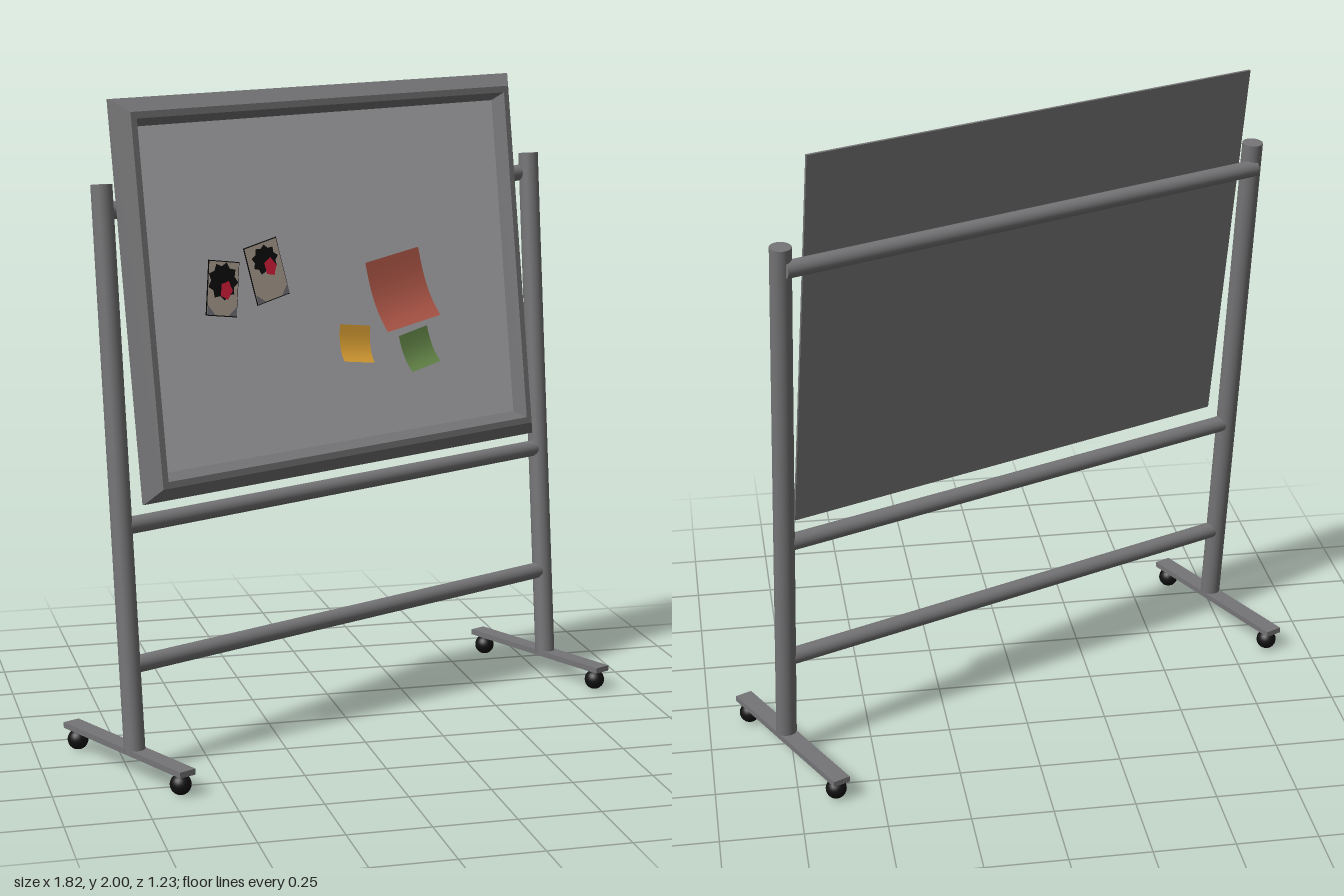
import * as THREE from 'three';

const mat = (name, color, side = THREE.FrontSide) => {
  const m = new THREE.MeshStandardMaterial({ color, side });
  m.name = name;
  return m;
};

export function createModel() {
  const model = new THREE.Group();
  model.name = 'mobileWhiteboard';
  const D = THREE.DoubleSide;
  const metal = mat('greyMetal', 0x757476);
  const white = mat('boardSurface', 0xbcbcbf);
  const rubber = mat('blackRubber', 0x111111);
  const redPaper = mat('redPaper', 0xb75b4b, D);
  const yellowPaper = mat('yellowPaper', 0xe5a737, D);
  const greenPaper = mat('greenPaper', 0x67894a, D);
  const cardPaper = mat('beigeCard', 0xb3a698, D);
  const ink = mat('blackInk', 0x0c0c0c, D);
  const redInk = mat('redInk', 0xe01f3d, D);
  const corner = mat('greyCorner', 0x74747c, D);

  const add = (parent, name, geo, material, x = 0, y = 0, z = 0) => {
    const mesh = new THREE.Mesh(geo, material);
    mesh.name = name;
    mesh.position.set(x, y, z);
    parent.add(mesh);
    return mesh;
  };

  // Round bar between two points
  const bar = (name, a, b, r) => {
    const dir = b.clone().sub(a);
    const mid = a.clone().add(b).multiplyScalar(0.5);
    const m = add(model, name, new THREE.CylinderGeometry(r, r, dir.length(), 24), metal, mid.x, mid.y, mid.z);
    m.quaternion.setFromUnitVectors(new THREE.Vector3(0, 1, 0), dir.normalize());
  };

  // Leaning posts
  const V = (x, y, z) => new THREE.Vector3(x, y, z);
  const posts = [
    [V(-0.737, 0.07, 0.37), V(-0.783, 1.74, 0.225)],
    [V(0.767, 0.07, -0.302), V(0.73, 1.74, -0.446)],
  ];
  const onPost = (i, y) => posts[i][0].clone().lerp(posts[i][1], (y - 0.07) / 1.67);
  bar('rightPost', ...posts[0], 0.032);
  bar('leftPost', ...posts[1], 0.032);

  // Cross rails, the top one set slightly behind the board
  [['lowerRail', 0.33, 0.355, 0], ['middleRail', 0.743, 0.766, 0], ['upperRail', 1.66, 1.675, 0.02]]
    .forEach(([name, ya, yb, back]) => {
      const shift = V(-0.41 * back, 0, -0.91 * back);
      bar(name, onPost(0, ya).add(shift), onPost(1, yb).add(shift), 0.026);
    });

  // Feet with ball casters
  [['rightFoot', -0.752, 0.333], ['leftFoot', 0.754, -0.333]].forEach(([name, x, z]) => {
    const foot = new THREE.Group();
    foot.name = name;
    foot.position.set(x, 0, z);
    foot.rotation.y = 0.455;
    add(foot, 'footBar', new THREE.BoxGeometry(0.055, 0.018, 0.6), metal, 0, 0.073, 0);
    for (const s of [-1, 1]) add(foot, 'caster', new THREE.SphereGeometry(0.032, 20, 14), rubber, 0, 0.032, s * 0.264);
    model.add(foot);
  });

  // Tilted board: local x across, y up, z out of the writing side
  const board = new THREE.Group();
  board.name = 'board';
  board.position.set(-0.0225, 1.403, -0.066);
  board.rotation.set(-0.11, 0.424, 0.0125, 'YXZ');
  model.add(board);
  const W = 0.772, H = 0.592;

  // Mitred frame: rectangular loops given as [inset, depth]
  const profile = [[0, 0], [0, 0.008], [0.042, 0.055], [0.062, 0.055], [0.085, 0.014]];
  const signs = [[-1, -1], [1, -1], [1, 1], [-1, 1]];
  const pt = (p, k) => [signs[k % 4][0] * (W - p[0]), signs[k % 4][1] * (H - p[0]), p[1]];
  const verts = [];
  for (let i = 0; i < profile.length - 1; i++) {
    for (let k = 0; k < 4; k++) {
      const a = pt(profile[i], k), b = pt(profile[i], k + 1);
      const c = pt(profile[i + 1], k + 1), d = pt(profile[i + 1], k);
      verts.push(...a, ...b, ...c, ...a, ...c, ...d);
    }
  }
  const frameGeo = new THREE.BufferGeometry();
  frameGeo.setAttribute('position', new THREE.Float32BufferAttribute(verts, 3));
  frameGeo.computeVertexNormals();
  add(board, 'frame', frameGeo, metal);
  add(board, 'backSheet', new THREE.PlaneGeometry(2 * W, 2 * H), metal).rotation.y = Math.PI;
  add(board, 'writingSurface', new THREE.PlaneGeometry(2 * (W - 0.083), 2 * (H - 0.083)), white, 0, 0, 0.016);

  // Sticky notes whose lower edge curls outward
  const note = (name, material, x, y, w, h, rot, curl) => {
    const g = new THREE.PlaneGeometry(w, h, 1, 10);
    const p = g.attributes.position;
    for (let i = 0; i < p.count; i++) p.setZ(i, curl * Math.pow(0.5 - p.getY(i) / h, 3));
    g.computeVertexNormals();
    add(board, name, g, material, x, y, 0.02).rotation.z = rot;
  };
  note('largeRedNote', redPaper, 0.238, -0.06, 0.22, 0.222, 0.14, 0.048);
  note('yellowNote', yellowPaper, 0.046, -0.21, 0.12, 0.115, -0.15, 0.03);
  note('greenNote', greenPaper, 0.295, -0.255, 0.12, 0.118, 0.18, 0.03);

  // Picture cards with an abstract ink blot
  const flat = (pts) => new THREE.ShapeGeometry(new THREE.Shape(pts.map(([x, y]) => new THREE.Vector2(x, y))));
  const blot = (rx, ry, n) => flat(Array.from({ length: n }, (_, i) => {
    const a = (i / n) * Math.PI * 2, r = i % 2 ? 0.78 : 1;
    return [Math.cos(a) * rx * r, Math.sin(a) * ry * r];
  }));
  const card = (name, x, y, w, h, rot, bx, by, brx, bry) => {
    const g = new THREE.Group();
    g.name = name;
    g.position.set(x, y, 0.02);
    g.rotation.z = rot;
    board.add(g);
    add(g, 'cardEdge', new THREE.PlaneGeometry(w + 0.006, h + 0.006), ink, 0, 0, -0.002);
    add(g, 'cardFace', new THREE.PlaneGeometry(w, h), cardPaper);
    add(g, 'inkBlot', blot(brx, bry, 18), ink, bx, by, 0.002);
    add(g, 'redSpot', blot(0.024, 0.03, 10), redInk, bx + 0.012, by - 0.026, 0.004);
    for (const s of [-1, 1]) {
      const cx = s * w / 2, cy = -h / 2;
      add(g, 'cardCorner', flat([[cx, cy], [cx, cy + 0.03], [cx - s * 0.03, cy]]), corner, 0, 0, 0.002);
    }
  };
  card('firstCard', -0.434, 0.01, 0.108, 0.16, -0.16, -0.002, 0.022, 0.056, 0.058);
  card('secondCard', -0.267, 0.046, 0.122, 0.174, 0.2, 0.002, 0.036, 0.05, 0.046);

  return model;
}
